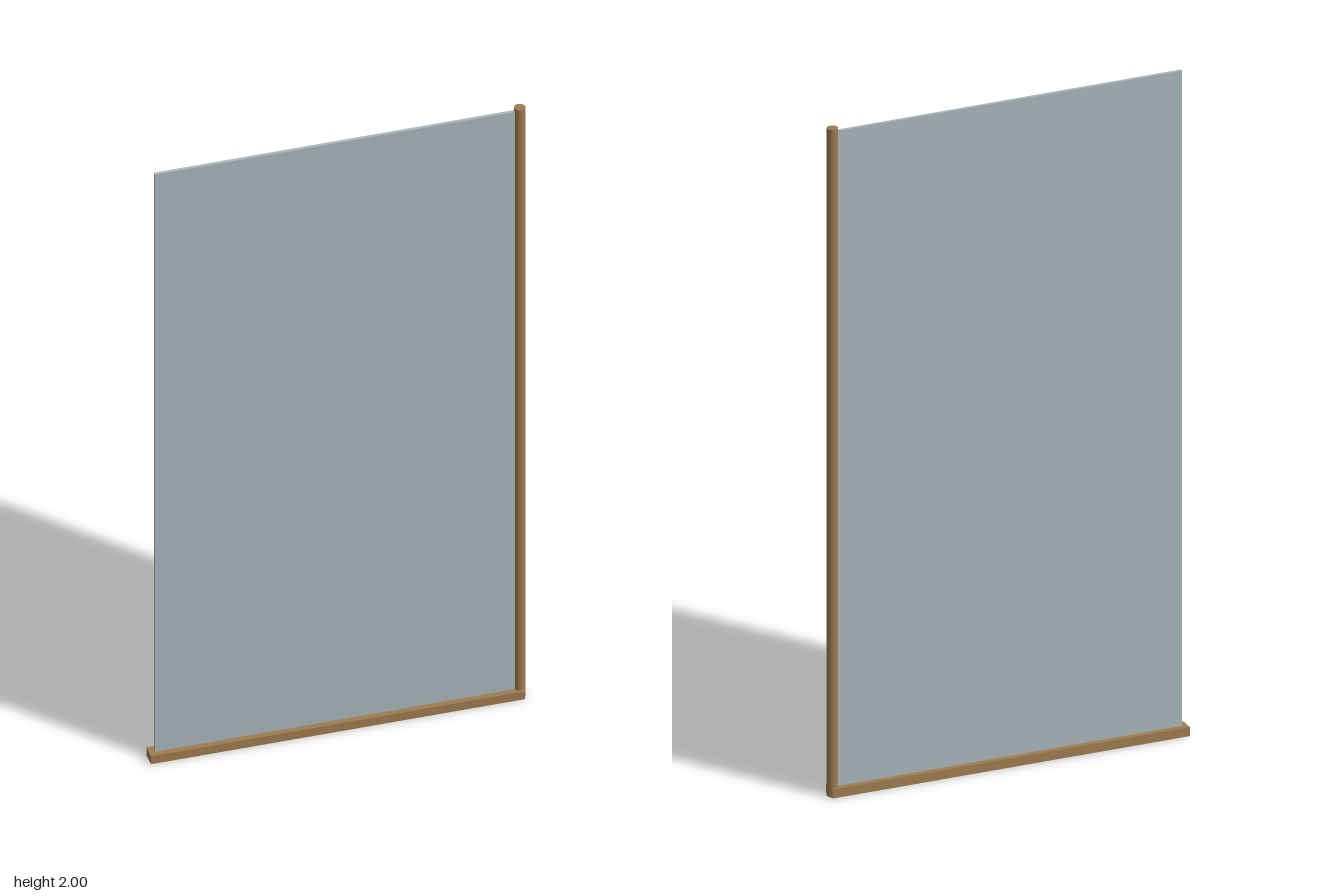
import * as THREE from 'three';

export function createModel() {
  const model = new THREE.Group();
  const wood = new THREE.MeshStandardMaterial({ color: 0xa07c50 });
  const glass = new THREE.MeshStandardMaterial({ color: 0xa9b8bc });

  const add = (name, geometry, material, x, y, z = 0) => {
    const mesh = new THREE.Mesh(geometry, material);
    mesh.name = name;
    mesh.position.set(x, y, z);
    model.add(mesh);
  };

  // Flat wooden rail along the floor
  add('bottomRail', new THREE.BoxGeometry(1.073, 0.027, 0.044), wood, -0.0045, 0.0135);

  // Round full-height post at the left end
  add('post', new THREE.CylinderGeometry(0.016, 0.016, 2, 16), wood, 0.523, 1);

  // Thin pane set into the rail and running into the post
  add('pane', new THREE.BoxGeometry(1.045, 1.975, 0.01), glass, -0.0025, 1.0025);

  return model;
}
